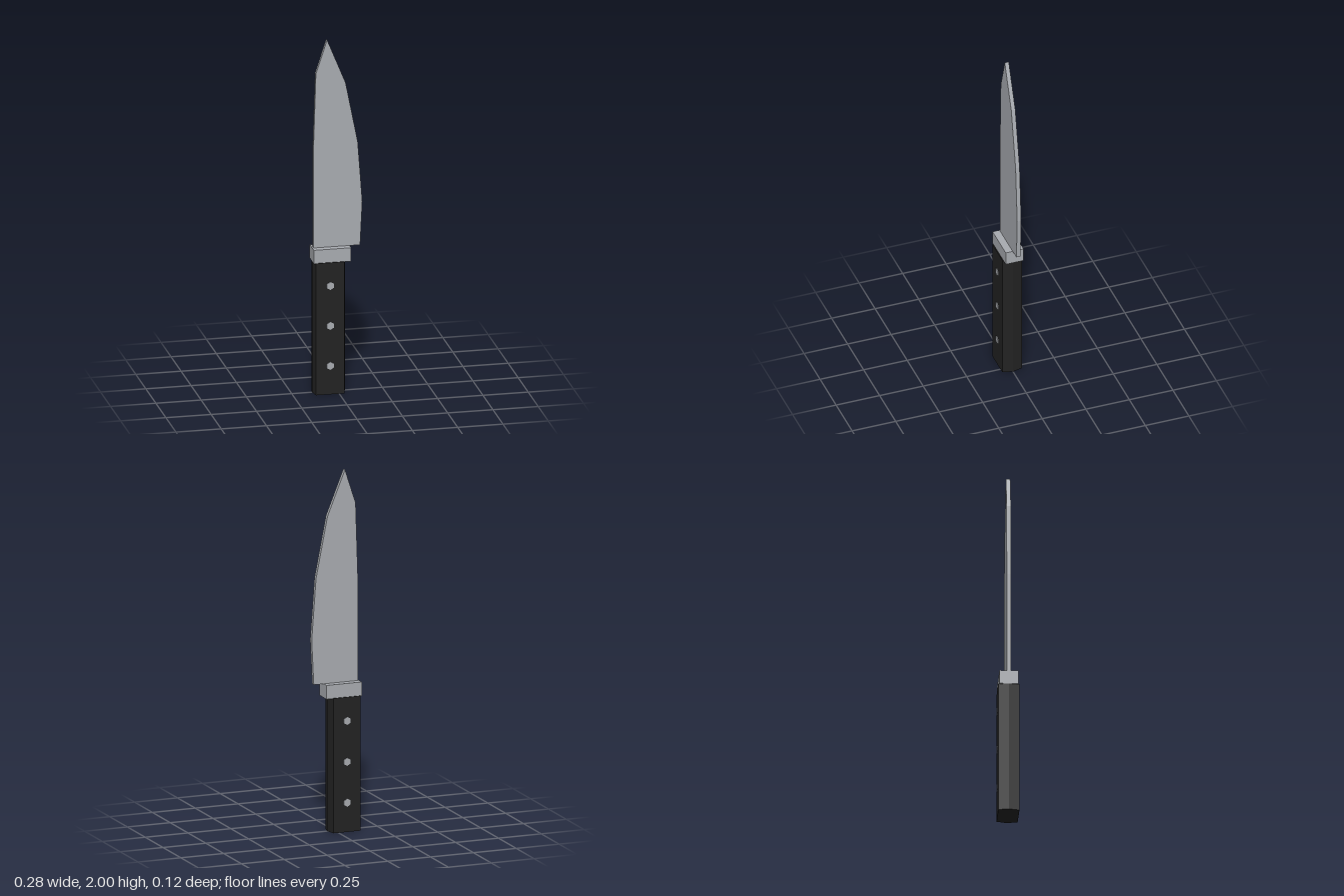
import * as THREE from 'three';

const steel = new THREE.MeshStandardMaterial({ color: 0xa8abb0, flatShading: true });
steel.name = 'steel';
const black = new THREE.MeshStandardMaterial({ color: 0x222222, flatShading: true });
black.name = 'handleBlack';

const Z = -0.001; // shared mid-plane of all parts

function addMesh(group, name, geometry, material) {
  const mesh = new THREE.Mesh(geometry, material);
  mesh.name = name;
  group.add(mesh);
  return mesh;
}

// Straight extrusion of an outline, centred on its depth
function slab(points, depth) {
  const shape = new THREE.Shape(points.map(([x, y]) => new THREE.Vector2(x, y)));
  const geometry = new THREE.ExtrudeGeometry(shape, { depth, bevelEnabled: false });
  return geometry.translate(0, 0, -depth / 2);
}

export function createModel() {
  const knife = new THREE.Group();
  knife.name = 'knife';

  // Flat blade: straight spine, curved edge, clipped point
  const blade = slab([
    [-0.132, 0.82], [0.125, 0.823], [0.137, 1.07], [0.112, 1.41],
    [0.045, 1.75], [-0.057, 2], [-0.119, 1.81], [-0.132, 1.4],
  ], 0.023);
  addMesh(knife, 'blade', blade, steel).position.z = Z;

  // Bolster block between blade and handle
  const bolster = addMesh(knife, 'bolster', new THREE.BoxGeometry(0.206, 0.077, 0.103), steel);
  bolster.position.set(-0.036, 0.7845, Z);

  // Handle: six-sided section with shallow ridges along both narrow sides
  const handle = slab([
    [-0.139, 0], [-0.128, -0.057], [0.029, -0.057],
    [0.043, 0], [0.029, 0.057], [-0.128, 0.057],
  ], 0.748);
  handle.rotateX(-Math.PI / 2);
  addMesh(knife, 'handle', handle, black).position.set(0, 0.374, Z);

  // Hexagonal rivets passing through the handle
  for (const y of [0.163, 0.39, 0.617]) {
    const rivet = new THREE.CylinderGeometry(0.0225, 0.0225, 0.122, 6).rotateX(Math.PI / 2);
    addMesh(knife, 'rivet', rivet, steel).position.set(-0.05, y, Z);
  }

  return knife;
}
